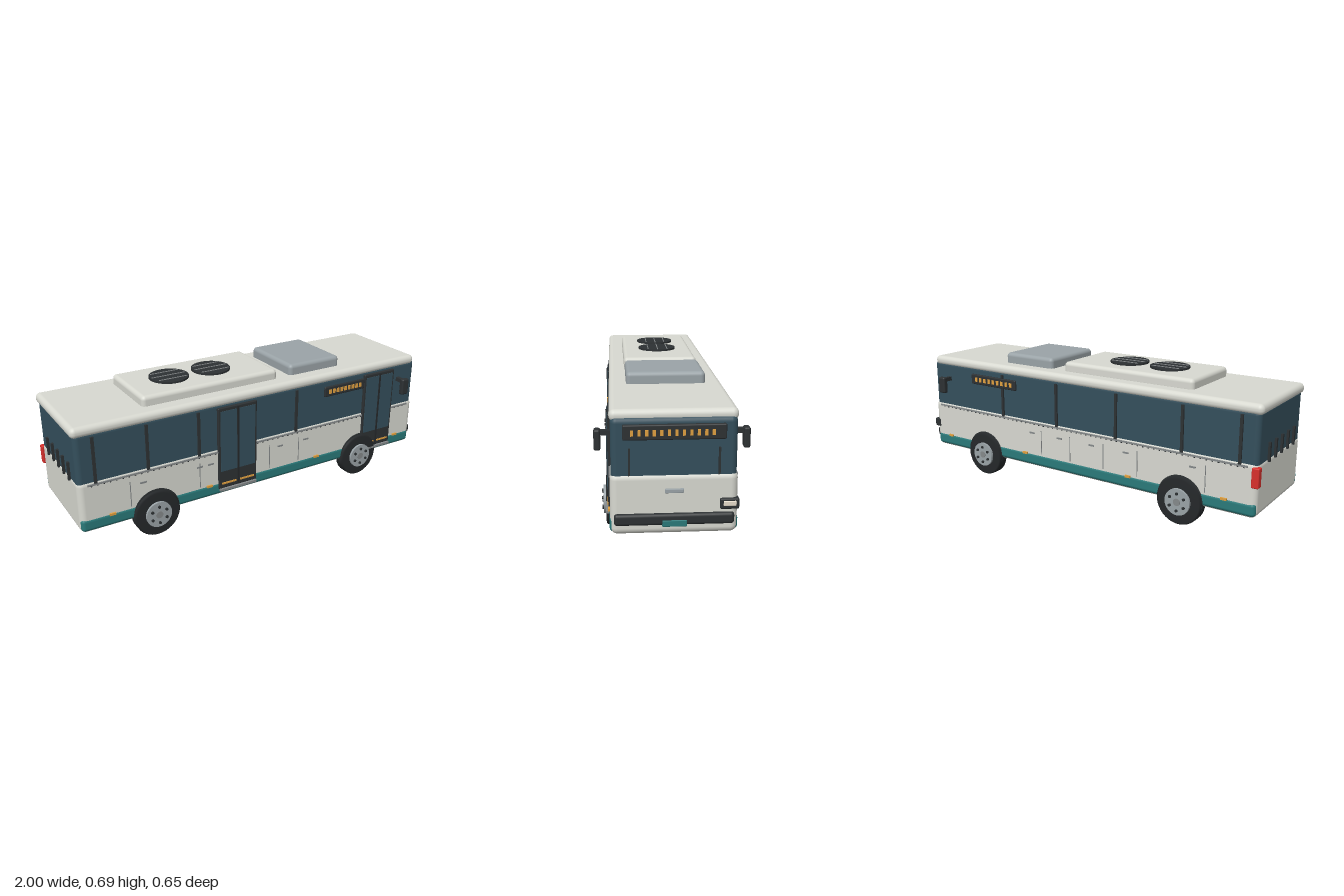
import * as THREE from 'three';
import { RoundedBoxGeometry } from 'three/addons/geometries/RoundedBoxGeometry.js';

const mat = (color) => new THREE.MeshStandardMaterial({ color });
const M = {
  body: mat(0xd8d9d1), teal: mat(0x2a7a7a), glass: mat(0x344f5c), dark: mat(0x2d3133),
  tyre: mat(0x25282a), grey: mat(0x9aa3a7), seam: mat(0x85898a), amber: mat(0xe0a040),
  lens: mat(0xe6dccb), red: mat(0xd8302c),
};

export function createModel() {
  const bus = new THREE.Group();
  bus.name = 'bus';

  const add = (name, geo, m, x, y, z, parent = bus) => {
    const mesh = new THREE.Mesh(geo, m);
    mesh.name = name;
    mesh.position.set(x, y, z);
    parent.add(mesh);
    return mesh;
  };
  // Box given by its limits on each axis, rounded when r > 0
  const box = (name, m, [x0, x1], [y0, y1], [z0, z1], r = 0, parent = bus) => {
    const s = [x1 - x0, y1 - y0, z1 - z0];
    const geo = r ? new RoundedBoxGeometry(...s, 4, r) : new THREE.BoxGeometry(...s);
    return add(name, geo, m, (x0 + x1) / 2, (y0 + y1) / 2, (z0 + z1) / 2, parent);
  };
  // Thin box standing on a side wall; s is +1 or -1
  const onSide = (name, m, s, xs, ys, depth, from = 0.25, r = 0, parent = bus) =>
    box(name, m, xs, ys, s > 0 ? [from, depth] : [-depth, -from], r, parent);

  // Main shell
  box('lowerBody', M.body, [-0.99, 0.977], [0.105, 0.37], [-0.26, 0.26], 0.03);
  box('skirt', M.teal, [-0.987, 0.966], [0.114, 0.18], [-0.263, 0.263], 0.018);
  box('windowBand', M.glass, [-0.987, 0.97], [0.33, 0.6], [-0.255, 0.255], 0.025);
  box('roof', M.body, [-0.998, 0.96], [0.577, 0.628], [-0.26, 0.26], 0.024);

  // Roof equipment
  box('airConditioner', M.body, [-0.63, 0.105], [0.61, 0.676], [-0.183, 0.183], 0.02);
  box('roofHatch', M.grey, [0.183, 0.495], [0.61, 0.682], [-0.181, 0.181], 0.02);
  for (const x of [-0.408, -0.177]) {
    const fan = new THREE.Group();
    fan.name = 'roofFan';
    bus.add(fan);
    add('fanDisc', new THREE.CylinderGeometry(0.098, 0.098, 0.012, 40), M.dark, x, 0.679, 0, fan);
    for (const z of [-0.05, 0, 0.05]) {
      const h = Math.sqrt(0.09 ** 2 - z * z);
      box('fanSlat', M.seam, [x - h, x + h], [0.684, 0.688], [z - 0.002, z + 0.002], 0, fan);
    }
  }

  // Wheels with hub, bolts and dark arch
  const makeWheel = (x, s) => {
    const wheel = new THREE.Group();
    wheel.name = 'wheel';
    wheel.position.set(x, 0.116, 0);
    if (s < 0) wheel.rotation.y = Math.PI;
    bus.add(wheel);
    const disc = (name, r, z0, z1, m, px = 0, py = 0, n = 40) => {
      const c = add(name, new THREE.CylinderGeometry(r, r, z1 - z0, n), m, px, py, (z0 + z1) / 2, wheel);
      c.rotation.x = Math.PI / 2;
    };
    disc('wheelArch', 0.118, 0.255, 0.264, M.dark, 0, 0.006);
    const profile = [[0, 0.22], [0.108, 0.22], [0.116, 0.227], [0.116, 0.271], [0.108, 0.278], [0, 0.278]]
      .map(([r, z]) => new THREE.Vector2(r, z));
    const tyre = add('tyre', new THREE.LatheGeometry(profile, 40), M.tyre, 0, 0, 0, wheel);
    tyre.rotation.x = Math.PI / 2;
    disc('rim', 0.065, 0.27, 0.29, M.grey);
    disc('hubCap', 0.018, 0.28, 0.293, M.seam, 0, 0, 20);
    for (let i = 0; i < 6; i++) {
      const a = (i * Math.PI) / 3 + Math.PI / 6;
      disc('wheelBolt', 0.007, 0.28, 0.297, M.dark, 0.042 * Math.cos(a), 0.042 * Math.sin(a), 12);
    }
  };
  for (const x of [-0.62, 0.595]) for (const s of [1, -1]) makeWheel(x, s);

  // Double doors on the +z side
  const makeDoor = (x0, x1) => {
    const door = new THREE.Group();
    door.name = 'door';
    bus.add(door);
    const mid = (x0 + x1) / 2;
    onSide('doorFrame', M.dark, 1, [x0, x1], [0.145, 0.575], 0.268, 0.24, 0.005, door);
    onSide('doorStep', M.seam, 1, [x0 + 0.005, x1 - 0.005], [0.134, 0.146], 0.278, 0.24, 0, door);
    for (const [a, b] of [[x0 + 0.012, mid - 0.006], [mid + 0.006, x1 - 0.012]]) {
      onSide('doorGlass', M.glass, 1, [a, b], [0.24, 0.558], 0.271, 0.255, 0, door);
      onSide('doorStripe', M.amber, 1, [a + 0.005, b - 0.005], [0.168, 0.177], 0.272, 0.255, 0, door);
    }
    onSide('doorSeam', M.tyre, 1, [mid - 0.004, mid + 0.004], [0.15, 0.57], 0.274, 0.255, 0, door);
  };
  makeDoor(-0.285, -0.067);
  makeDoor(0.61, 0.815);

  // Side details: pillars, belt rail, panel seams, handles, markers, destination sign, mirror
  const sides = [
    { s: 1, pillars: [-0.905, -0.65, -0.385, 0.175], seams: [-0.745, -0.385, 0.015, 0.195],
      handles: [-0.68, -0.385, -0.325, 0.08, 0.24], sign: [0.35, 0.612] },
    { s: -1, pillars: [0.46, 0.1, -0.26, -0.62, -0.905], seams: [0.2, 0.015, -0.19, -0.385, -0.745],
      handles: [0.26, 0.08, -0.12, -0.32, -0.68], sign: [0.365, 0.68] },
  ];
  for (const { s, pillars, seams, handles, sign } of sides) {
    for (const x of pillars)
      onSide('windowPillar', M.dark, s, [x - 0.007, x + 0.007], [0.348, 0.575], 0.263);
    onSide('beltRail', M.seam, s, [-0.945, 0.935], [0.342, 0.35], 0.264);
    for (let x = -0.93; x < 0.93; x += 0.03)
      onSide('railRivet', M.dark, s, [x, x + 0.006], [0.338, 0.343], 0.264);
    for (const x of seams)
      onSide('panelSeam', M.seam, s, [x - 0.002, x + 0.002], [0.182, 0.312], 0.2615);
    for (const x of handles)
      onSide('panelHandle', M.seam, s, [x - 0.016, x + 0.016], [0.288, 0.296], 0.264);
    for (const x of [-0.84, -0.335, 0.31, 0.86])
      onSide('sideMarker', M.amber, s, [x - 0.015, x + 0.015], [0.169, 0.18], 0.269);
    onSide('sideSign', M.dark, s, sign, [0.502, 0.557], 0.265, 0.25, 0.006);
    const step = (sign[1] - sign[0] - 0.04) / 9;
    for (let i = 0; i < 9; i++) {
      const x = sign[0] + 0.025 + i * step;
      onSide('sideSignLight', M.amber, s, [x, x + 0.016], [0.518, 0.541], 0.268);
    }
    onSide('mirrorArm', M.dark, s, [0.843, 0.863], [0.498, 0.519], 0.305, 0.245);
    onSide('mirror', M.dark, s, [0.833, 0.878], [0.436, 0.525], 0.323, 0.295, 0.009);
  }

  // Front end
  box('frontSign', M.dark, [0.95, 0.985], [0.51, 0.573], [-0.207, 0.207], 0.006);
  for (let i = 0; i < 12; i++) {
    const z = 0.17 - i * 0.0295;
    box('frontSignLight', M.amber, [0.975, 0.988], [0.528, 0.553], [z - 0.006, z + 0.006]);
  }
  for (const z of [-0.181, 0.181])
    box('wiper', M.dark, [0.96, 0.98], [0.362, 0.475], [z - 0.004, z + 0.004]);
  box('frontHandle', M.grey, [0.97, 0.985], [0.287, 0.305], [-0.038, 0.038], 0.003);
  box('bumper', M.dark, [0.94, 0.992], [0.15, 0.2], [-0.245, 0.245], 0.014);
  box('frontPlate', M.teal, [0.98, 0.997], [0.147, 0.174], [-0.05, 0.05], 0.003);
  box('headlightHousing', M.dark, [0.945, 0.988], [0.213, 0.26], [-0.264, -0.185], 0.008);
  box('headlightLens', M.lens, [0.98, 0.992], [0.228, 0.25], [-0.252, -0.199], 0.004);

  // Rear end
  box('tailLight', M.red, [-1, -0.965], [0.255, 0.348], [-0.269, -0.235], 0.005);
  for (let i = 0; i < 5; i++) {
    const z = -0.14 + i * 0.075;
    box('rearVent', M.dark, [-0.998, -0.97], [0.345, 0.435], [z - 0.007, z + 0.007]);
  }
  return bus;
}
